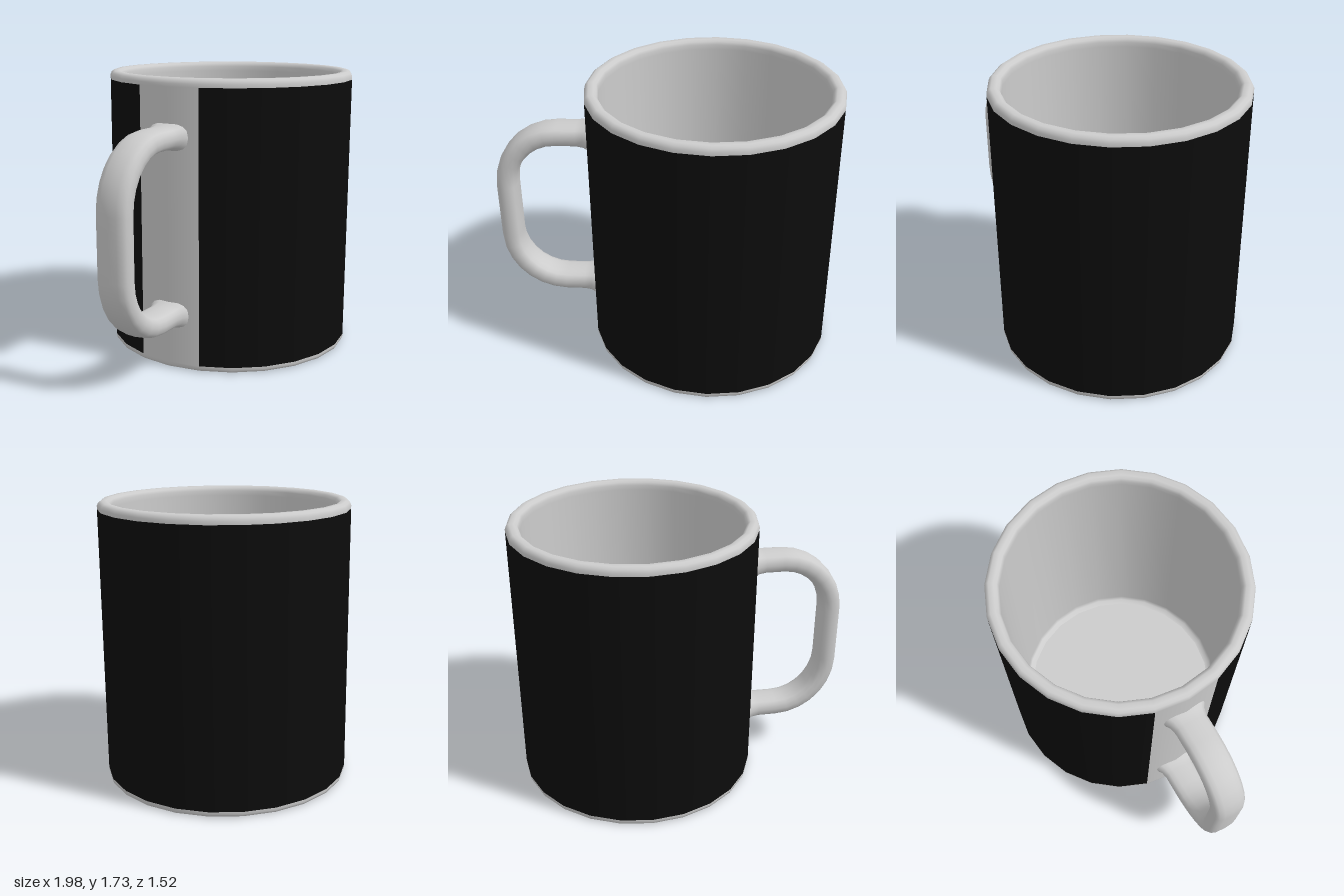
import * as THREE from 'three';

const SIDES = 24;
const STEP = (Math.PI * 2) / SIDES;
const HANDLE_ANGLE = THREE.MathUtils.degToRad(27); // swing of the handle towards the front
const HANDLE_PHI = HANDLE_ANGLE - Math.PI / 2;     // same direction in lathe angles

const ceramic = new THREE.MeshStandardMaterial({ color: 0xcccccc });
ceramic.name = 'light ceramic';
const glaze = new THREE.MeshStandardMaterial({ color: 0x0c0c0c });
glaze.name = 'black glaze';

// Turned piece covering a number of the mug's sides, starting at a side offset from the handle
function turned(name, profile, material, firstSide = 0, sides = SIDES) {
  const points = profile.map(([r, y]) => new THREE.Vector2(r, y));
  const geometry = new THREE.LatheGeometry(points, sides, HANDLE_PHI + firstSide * STEP, sides * STEP);
  const mesh = new THREE.Mesh(geometry, material);
  mesh.name = name;
  return mesh;
}

// Centre line of the handle: [distance from mug axis, height, section scale]
function handlePath() {
  const top = [[0.72, 1.395, 1.3], [0.75, 1.395, 1.25], [0.775, 1.395, 1.09], [0.82, 1.395, 1]];
  const bend = 7;
  for (let i = 0; i <= bend; i++) {
    const a = (i / bend) * Math.PI / 2;
    top.push([0.94 + 0.335 * Math.sin(a), 1.045 + 0.35 * Math.cos(a), 1]);
  }
  const bottom = top.map(([r, y, s]) => [r, 1.73 - y, s]).reverse();
  return [...top, [1.275, 0.865, 1], ...bottom];
}

// Rounded, flattened section swept along the centre line
function handleGeometry() {
  const path = handlePath();
  const around = 16;
  const position = [];
  const index = [];
  const round = v => Math.sign(v) * Math.pow(Math.abs(v), 0.75);
  path.forEach(([r, y, scale], i) => {
    const before = path[Math.max(i - 1, 0)];
    const after = path[Math.min(i + 1, path.length - 1)];
    const tangent = new THREE.Vector2(after[0] - before[0], after[1] - before[1]).normalize();
    for (let k = 0; k < around; k++) {
      const a = (k / around) * Math.PI * 2;
      const thick = 0.065 * scale * round(Math.cos(a));
      const wide = 0.105 * scale * round(Math.sin(a));
      position.push(r - tangent.y * thick, y + tangent.x * thick, wide);
      if (i < path.length - 1) {
        const p = i * around + k;
        const q = i * around + (k + 1) % around;
        index.push(p, q, p + around, q, q + around, p + around);
      }
    }
  });
  const geometry = new THREE.BufferGeometry();
  geometry.setAttribute('position', new THREE.Float32BufferAttribute(position, 3));
  geometry.setIndex(index);
  geometry.computeVertexNormals();
  return geometry;
}

export function createModel() {
  const mug = new THREE.Group();
  mug.name = 'mug';

  const body = new THREE.Group();
  body.name = 'body';
  body.position.x = 0.24;
  mug.add(body);

  // Underside and rounded foot
  body.add(turned('underside', [[0, 0], [0.742, 0]], ceramic));
  body.add(turned('foot', [[0.742, 0], [0.755, 0.006], [0.76, 0.02], [0.76, 0.035]], ceramic));

  // Outer wall: black wrap with a bare strip behind the handle
  const wall = [[0.76, 0.035], [0.76, 1.68]];
  body.add(turned('blackWrap', wall, glaze, 1, SIDES - 2));
  body.add(turned('handleStrip', wall, ceramic, -1, 2));

  // Rounded rim
  body.add(turned('rim', [
    [0.76, 1.68], [0.76, 1.7], [0.752, 1.718], [0.735, 1.73],
    [0.705, 1.73], [0.688, 1.718], [0.68, 1.7], [0.68, 1.67],
  ], ceramic));

  // Inside wall and floor
  body.add(turned('innerWall', [[0.68, 1.67], [0.68, 0.12], [0.67, 0.09], [0.64, 0.08]], ceramic));
  body.add(turned('innerFloor', [[0.64, 0.08], [0, 0.08]], ceramic));

  // Handle, flared where it meets the wall
  const handle = new THREE.Mesh(handleGeometry(), ceramic);
  handle.name = 'handle';
  handle.rotation.y = Math.PI + HANDLE_ANGLE;
  body.add(handle);

  return mug;
}
